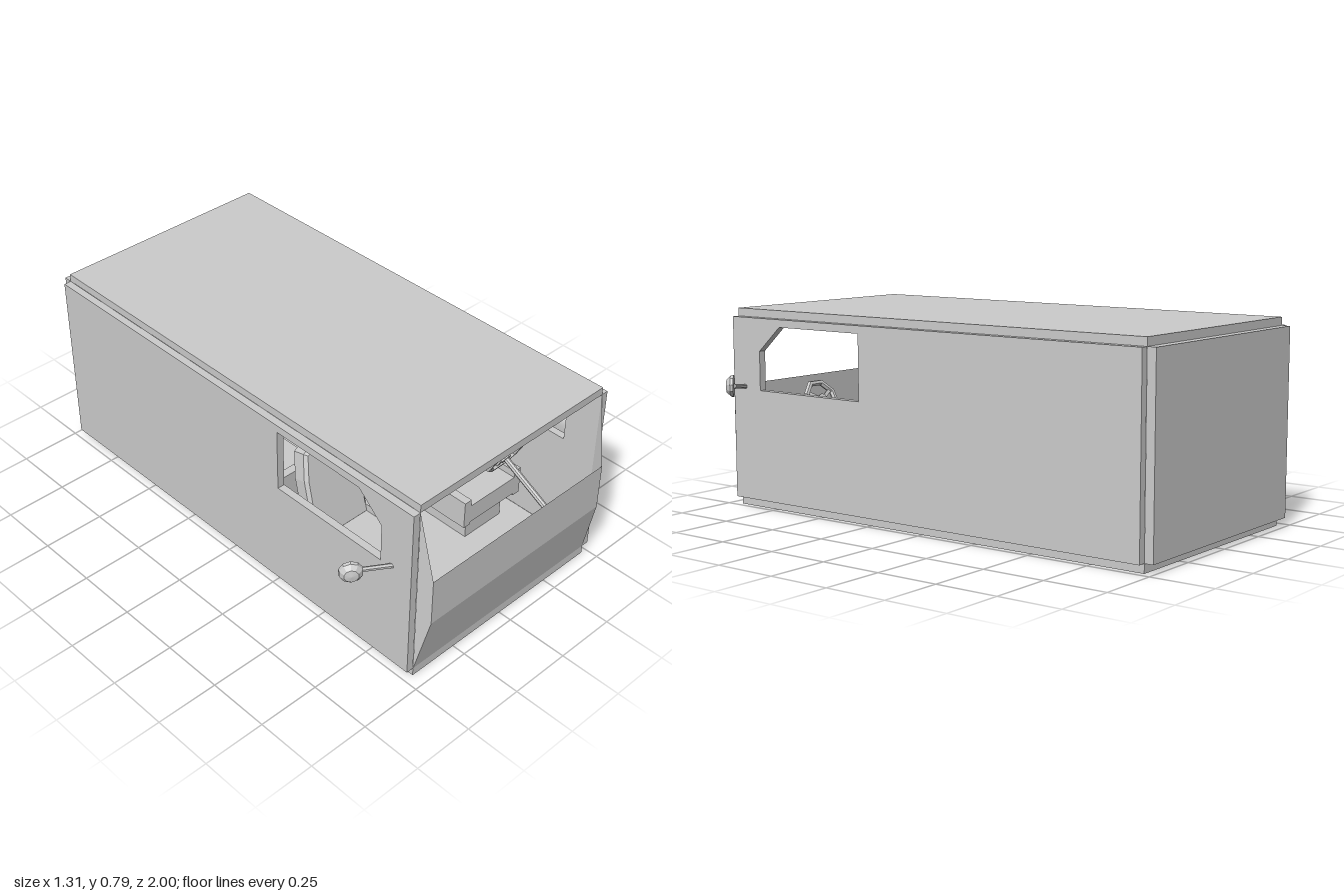
import * as THREE from 'three';

const mat = new THREE.MeshStandardMaterial({ color: 0xcccccc, flatShading: true });
const thinMat = new THREE.MeshStandardMaterial({ color: 0xcccccc, flatShading: true, side: THREE.DoubleSide });
const CX = 0.008; // body centre line

function add(parent, name, geometry, x = 0, y = 0, z = 0, material = mat) {
  const mesh = new THREE.Mesh(geometry, material);
  mesh.name = name;
  mesh.position.set(x, y, z);
  parent.add(mesh);
  return mesh;
}

const points = (list) => list.map(([x, y]) => new THREE.Vector2(x, y));

// Side slab drawn in (z, y) with the cab window cut out
function sideWall() {
  const shape = new THREE.Shape(points([[-0.965, 0.035], [0.945, 0.035], [0.945, 0.76], [-0.965, 0.76]]));
  shape.holes.push(new THREE.Path(points([[0.28, 0.475], [0.28, 0.73], [0.69, 0.73], [0.8, 0.63], [0.8, 0.475]])));
  const g = new THREE.ExtrudeGeometry(shape, { depth: 0.03, bevelEnabled: false });
  return g.rotateY(-Math.PI / 2).translate(0.015, 0, 0);
}

// Folded nose sheet: sloped lower face, upright upper face and triangular cheeks
function noseGeometry() {
  const w = 0.467, n = 0.447;
  const quad = (a, b, c, d) => [...a, ...b, ...c, ...a, ...c, ...d];
  const pos = [
    ...quad([-w, 0.035, 0.945], [w, 0.035, 0.945], [n, 0.28, 1], [-n, 0.28, 1]),
    ...quad([-n, 0.28, 1], [n, 0.28, 1], [n, 0.475, 1], [-n, 0.475, 1]),
  ];
  for (const s of [-1, 1]) {
    const low = [s * w, 0.035, 0.945], high = [s * w, 0.76, 0.945];
    const a = [s * n, 0.28, 1], b = [s * n, 0.475, 1];
    pos.push(...(s > 0 ? quad(low, high, b, a) : quad(low, a, b, high)));
  }
  const g = new THREE.BufferGeometry();
  g.setAttribute('position', new THREE.Float32BufferAttribute(pos, 3));
  g.computeVertexNormals();
  return g;
}

// Seat facing +z, origin on the floor below the foot of the backrest
function makeSeat(name) {
  const seat = new THREE.Group();
  seat.name = name;
  const bevel = 0.012;
  const outline = new THREE.Shape(points([
    [-0.135, 0], [0.135, 0], [0.128, 0.26], [0.108, 0.365], [0.08, 0.375], [-0.08, 0.375], [-0.108, 0.365], [-0.128, 0.26],
  ]));
  const backGeo = new THREE.ExtrudeGeometry(outline, {
    depth: 0.05, bevelEnabled: true, bevelSegments: 1, bevelThickness: bevel, bevelSize: bevel, bevelOffset: -bevel,
  }).translate(0, 0, -0.062);
  add(seat, 'seatBack', backGeo, 0, 0.22, 0).rotation.x = -0.25;
  add(seat, 'seatCushion', new THREE.BoxGeometry(0.25, 0.08, 0.3), 0, 0.19, 0.1);
  for (const s of [-1, 1]) add(seat, 'seatBolster', new THREE.BoxGeometry(0.035, 0.12, 0.3), s * 0.14, 0.2, 0.1);
  add(seat, 'seatBase', new THREE.BoxGeometry(0.2, 0.12, 0.22), 0, 0.092, 0.1);
  return seat;
}

// Mirror: thin arm from the wall to a half-dome head
function makeMirror(name, from, to, facing) {
  const mirror = new THREE.Group();
  mirror.name = name;
  const a = new THREE.Vector3(...from), b = new THREE.Vector3(...to);
  const up = new THREE.Vector3(0, 1, 0);
  const dir = b.clone().sub(a);
  const arm = add(mirror, 'mirrorArm', new THREE.CylinderGeometry(0.009, 0.009, dir.length(), 6));
  arm.position.copy(a).lerp(b, 0.5);
  arm.quaternion.setFromUnitVectors(up, dir.normalize());
  const profile = points([[0, 0], [0.044, 0], [0.042, 0.012], [0.026, 0.028], [0, 0.032]]);
  const head = add(mirror, 'mirrorHead', new THREE.LatheGeometry(profile, 10), ...to, thinMat);
  head.quaternion.setFromUnitVectors(up, new THREE.Vector3(...facing).normalize());
  return mirror;
}

// Octagonal steering wheel with spokes and a column
function makeSteeringWheel() {
  const wheel = new THREE.Group();
  wheel.name = 'steeringWheel';
  add(wheel, 'wheelRim', new THREE.TorusGeometry(0.078, 0.012, 6, 8).rotateZ(Math.PI / 8));
  for (let i = 0; i < 3; i++) {
    const spoke = new THREE.BoxGeometry(0.014, 0.075, 0.01).translate(0, 0.038, 0);
    add(wheel, 'wheelSpoke', spoke).rotation.z = Math.PI / 3 + (i * Math.PI * 2) / 3;
  }
  add(wheel, 'wheelHub', new THREE.CylinderGeometry(0.022, 0.022, 0.025, 8).rotateX(Math.PI / 2));
  add(wheel, 'steeringColumn', new THREE.CylinderGeometry(0.012, 0.012, 0.26, 8).rotateX(Math.PI / 2), 0, 0, 0.13);
  wheel.position.set(0.285, 0.425, 0.68);
  wheel.rotation.x = 0.5;
  return wheel;
}

export function createModel() {
  const model = new THREE.Group();
  model.name = 'van';

  // Body shell of separate slabs
  add(model, 'floor', new THREE.BoxGeometry(0.935, 0.035, 1.91), CX, 0.0175, -0.01);
  add(model, 'roof', new THREE.BoxGeometry(0.935, 0.032, 1.91), CX, 0.776, -0.01);
  add(model, 'rearWall', new THREE.BoxGeometry(0.935, 0.725, 0.035), CX, 0.3975, -0.9825);
  add(model, 'rightWall', sideWall(), CX - 0.483);
  add(model, 'leftWall', sideWall(), CX + 0.483);
  add(model, 'nose', noseGeometry(), CX, 0, 0, thinMat);

  // Two cab seats and one against the right wall, facing inwards
  const seats = [
    ['driverSeat', 0.285, 0.39, 0],
    ['passengerSeat', -0.265, 0.39, 0],
    ['rearSeat', -0.325, -0.1, Math.PI / 2],
  ];
  for (const [name, x, z, turn] of seats) {
    const seat = makeSeat(name);
    seat.position.set(x, 0, z);
    seat.rotation.y = turn;
    model.add(seat);
  }
  model.add(makeSteeringWheel());

  // Mirrors, set at slightly different depths
  model.add(makeMirror('leftMirror', [0.5, 0.484, 0.885], [0.615, 0.502, 0.832], [0.65, 0, 0.76]));
  model.add(makeMirror('rightMirror', [-0.485, 0.484, 0.855], [-0.622, 0.502, 0.79], [-0.62, 0, 0.78]));
  return model;
}
